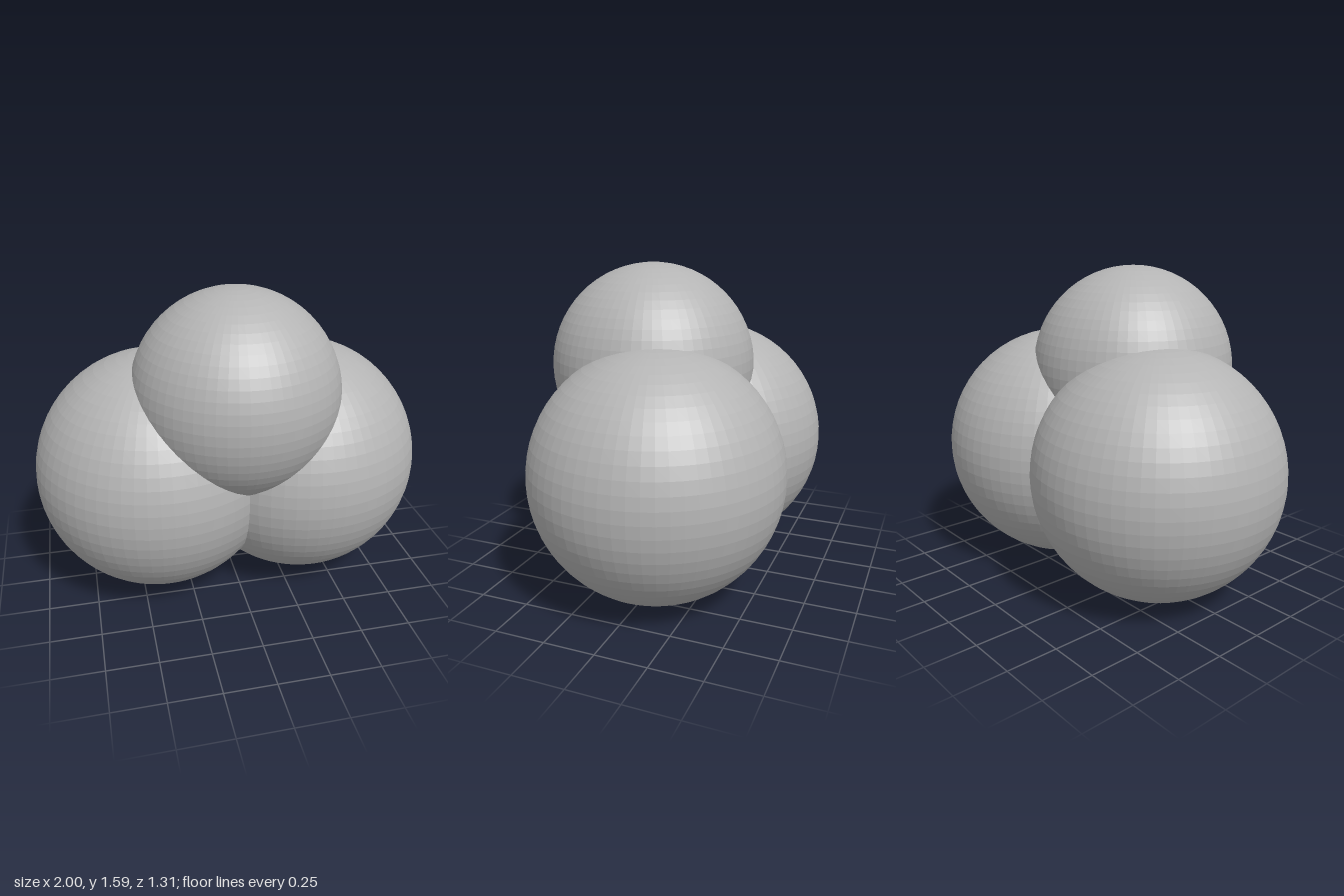
import * as THREE from 'three';

export function createModel() {
  const model = new THREE.Group();
  const gray = new THREE.MeshStandardMaterial({ color: 0xb4b4b4, flatShading: true });
  gray.name = 'plain gray';

  // Every part is a finely faceted ball
  function addBall(name, radius, x, y, z) {
    const ball = new THREE.Mesh(new THREE.SphereGeometry(radius, 64, 32), gray);
    ball.name = name;
    ball.position.set(x, y, z);
    model.add(ball);
  }

  // Two large lower balls, mirrored across x
  for (const side of [1, -1]) {
    addBall(side > 0 ? 'leftLowerBall' : 'rightLowerBall', 0.62, 0.38 * side, 0.62, -0.035);
  }

  // Smaller ball resting between them, towards the front
  addBall('upperBall', 0.515, 0, 1.073, 0.14);

  return model;
}
